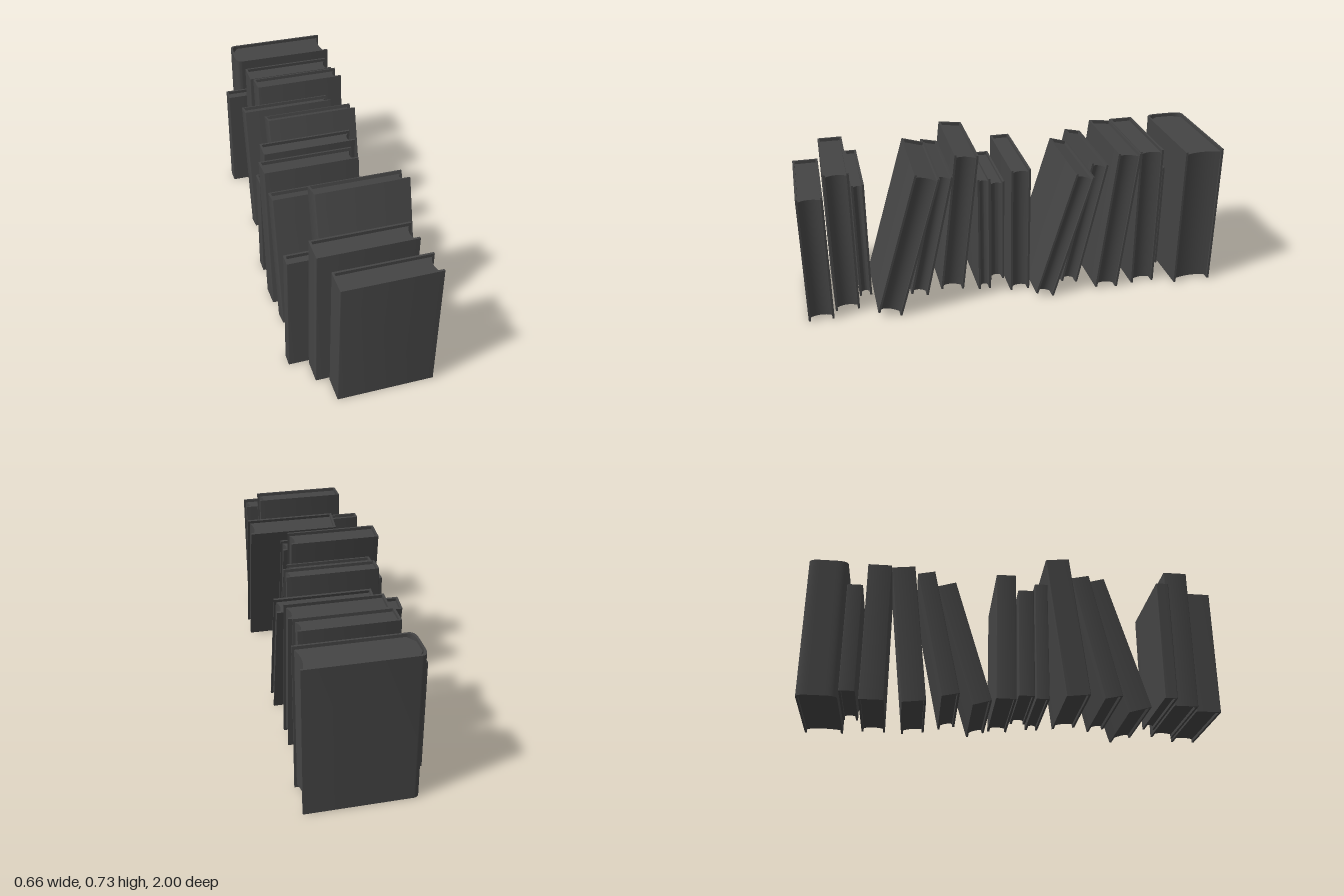
import * as THREE from 'three';
import { toCreasedNormals } from 'three/addons/utils/BufferGeometryUtils.js';

const material = new THREE.MeshStandardMaterial({ color: 0x444444 });

// Extrudes a plan outline (x, -z) upward from y = base
function standUp(shape, height, base) {
  const geo = new THREE.ExtrudeGeometry(shape, { depth: height, bevelEnabled: false, curveSegments: 8 });
  geo.rotateX(-Math.PI / 2);
  geo.translate(0, base, 0);
  return toCreasedNormals(geo, 0.6);
}

// U-shaped case: two boards joined by a spine on the -x side
function coverShape(x0, x1, t, board, round) {
  const s = new THREE.Shape();
  const c = round ? 0.03 : 0.004; // depth of the spine rounding
  const r = round ? 0.055 : 0.004; // width of the spine rounding
  s.moveTo(x0 + c, -t);
  s.lineTo(x1, -t);
  s.lineTo(x1, -t + board);
  s.lineTo(x0 + c + board, -t + board);
  s.quadraticCurveTo(x0 + board, -t + board, x0 + board, -t + Math.max(r, board));
  s.lineTo(x0 + board, -Math.max(r, board));
  s.quadraticCurveTo(x0 + board, -board, x0 + c + board, -board);
  s.lineTo(x1, -board);
  s.lineTo(x1, 0);
  s.lineTo(x0 + c, 0);
  s.quadraticCurveTo(x0, 0, x0, -r);
  s.lineTo(x0, -t + r);
  s.quadraticCurveTo(x0, -t, x0 + c, -t);
  return s;
}

// Page block with a hollow fore edge on the +x side
function pageShape(x0, x1, t, board, round) {
  const s = new THREE.Shape();
  const c = round ? 0.03 : 0;
  const edge = x1 - 0.01;
  s.moveTo(x0 + board + c, -t + board);
  s.lineTo(edge, -t + board);
  s.quadraticCurveTo(edge - 0.03, -t / 2, edge, -board);
  s.lineTo(x0 + board + c, -board);
  if (round) {
    s.lineTo(x0 + board, -0.055);
    s.lineTo(x0 + board, -t + 0.055);
  } else {
    s.lineTo(x0 + board, -t + board);
  }
  return s;
}

function makeBook({ x0, x1, z, t, h, lean = 0, round = false }) {
  const book = new THREE.Group();
  const board = 0.01;
  const margin = 0.015;
  const cover = new THREE.Mesh(standUp(coverShape(x0, x1, t, board, round), h, 0), material);
  cover.name = 'cover';
  const pages = new THREE.Mesh(standUp(pageShape(x0, x1, t, board, round), h - 2 * margin, margin), material);
  pages.name = 'pages';
  book.add(cover, pages);
  // Tilts backward about the rear bottom edge
  book.position.z = z;
  book.rotation.x = -THREE.MathUtils.degToRad(lean);
  return book;
}

// Front to back; z is the rear bottom edge, t the thickness
const books = [
  { x0: -0.18, x1: 0.265, z: 0.88, t: 0.12, h: 0.635 },
  { x0: -0.24, x1: 0.205, z: 0.755, t: 0.115, h: 0.715 },
  { x0: -0.33, x1: 0.095, z: 0.685, t: 0.06, h: 0.6 },
  { x0: -0.13, x1: 0.315, z: 0.565, t: 0.117, h: 0.72, lean: 16.4 },
  { x0: -0.29, x1: 0.165, z: 0.415, t: 0.087, h: 0.64, lean: 12.5 },
  { x0: -0.3, x1: 0.145, z: 0.233, t: 0.115, h: 0.717, lean: 6.7 },
  { x0: -0.255, x1: 0.17, z: 0.1, t: 0.062, h: 0.6 },
  { x0: -0.285, x1: 0.095, z: 0.015, t: 0.075, h: 0.545 },
  { x0: -0.24, x1: 0.215, z: -0.085, t: 0.095, h: 0.65 },
  { x0: -0.145, x1: 0.312, z: -0.185, t: 0.094, h: 0.647, lean: 16.5 },
  { x0: -0.24, x1: 0.215, z: -0.335, t: 0.085, h: 0.645, lean: 12 },
  { x0: -0.145, x1: 0.302, z: -0.517, t: 0.115, h: 0.717, lean: 6.5 },
  { x0: -0.16, x1: 0.285, z: -0.715, t: 0.117, h: 0.715 },
  { x0: -0.255, x1: 0.125, z: -0.8, t: 0.074, h: 0.545 },
  { x0: -0.185, x1: 0.33, z: -1, t: 0.19, h: 0.71, round: true },
];

export function createModel() {
  const row = new THREE.Group();
  row.name = 'bookRow';
  books.forEach((spec, i) => {
    const book = makeBook(spec);
    book.name = `book${i + 1}`;
    row.add(book);
  });
  return row;
}
